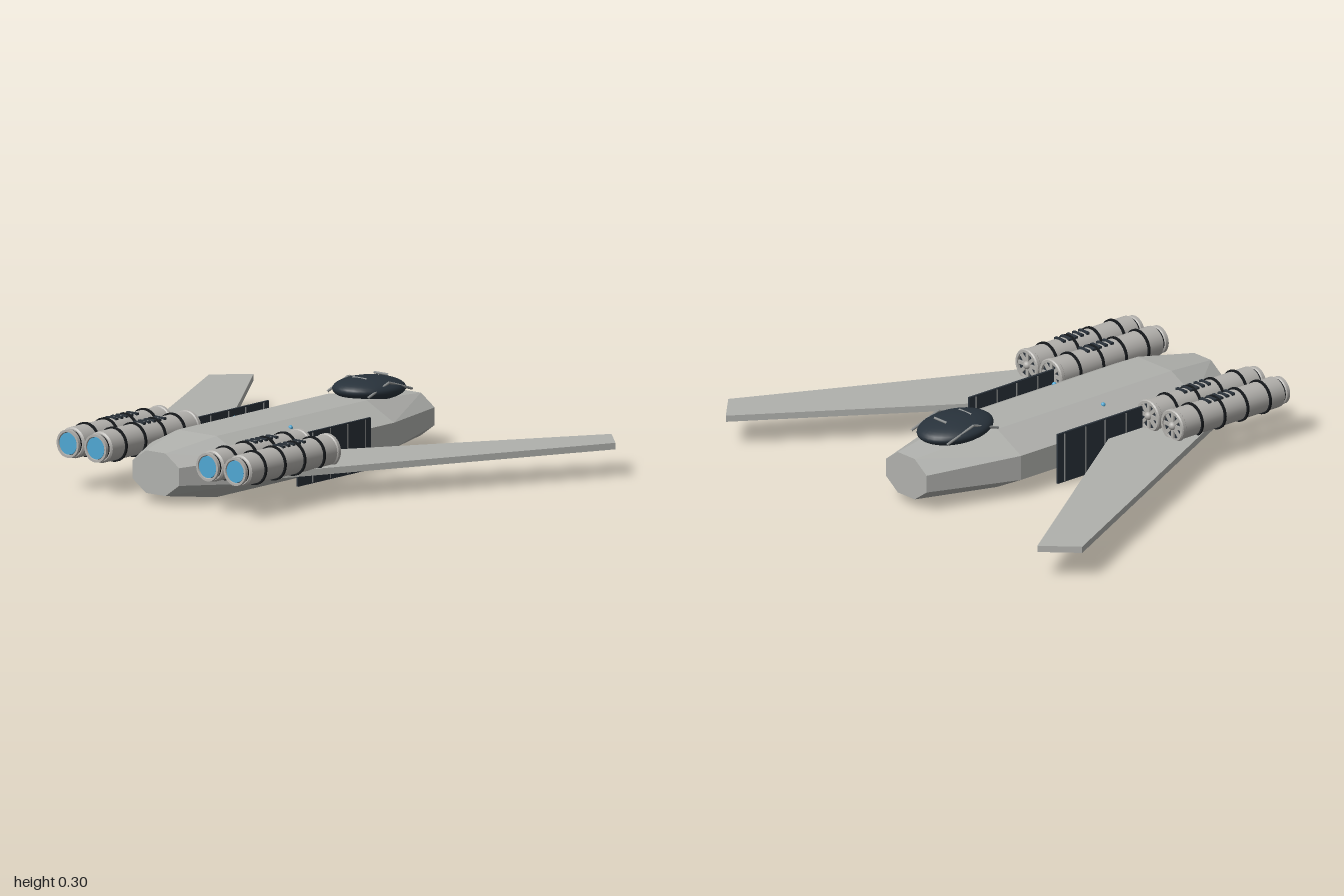
import * as THREE from 'three';
import { ConvexGeometry } from 'three/addons/geometries/ConvexGeometry.js';

const mat = (name, color, extra = {}) => {
  const m = new THREE.MeshStandardMaterial({ color, ...extra });
  m.name = name;
  return m;
};

export function createModel() {
  const hullGrey = mat('hull grey', 0xb0b1ad, { flatShading: true });
  const engineGrey = mat('engine grey', 0xb2b0ac);
  const trimGrey = mat('trim grey', 0x8c8f8f);
  const glass = mat('canopy glass', 0x28323b);
  const panelDark = mat('panel dark', 0x2a323a);
  const black = mat('band black', 0x16191c);
  const blue = mat('glow blue', 0x4fa6d2);

  const root = new THREE.Group();
  root.name = 'spacecraft';
  const add = (parent, name, geo, material, x = 0, y = 0, z = 0) => {
    const mesh = new THREE.Mesh(geo, material);
    mesh.name = name;
    mesh.position.set(x, y, z);
    parent.add(mesh);
    return mesh;
  };

  // Hull: squashed octagon sections, tapering at both ends
  const points = [];
  const sections = [[-0.705, 0.115, 0.082], [-0.33, 0.23, 0.1175], [0.55, 0.23, 0.1175], [0.793, 0.115, 0.082]];
  for (const [z, w, h] of sections) {
    for (let i = 0; i < 8; i++) {
      const a = (i + 0.5) * Math.PI / 4, k = 1 / Math.cos(Math.PI / 8);
      points.push(new THREE.Vector3(Math.cos(a) * w * k, 0.12 + Math.sin(a) * h * k, z));
    }
  }
  add(root, 'hull', new ConvexGeometry(points), hullGrey);

  // Canopy: flattened dome with a thin frame
  const canopy = new THREE.Group();
  canopy.name = 'canopy';
  root.add(canopy);
  const dome = add(canopy, 'canopyGlass', new THREE.SphereGeometry(1, 32, 20), glass, 0, 0.254, -0.458);
  dome.scale.set(0.122, 0.046, 0.162);
  dome.rotation.x = -0.05;
  const bar = (name, a, b, r) => {
    const path = new THREE.LineCurve3(new THREE.Vector3(...a), new THREE.Vector3(...b));
    add(canopy, name, new THREE.TubeGeometry(path, 1, r, 8), trimGrey);
  };
  for (const s of [-1, 1]) {
    bar('frameRear', [s * 0.1, 0.245, -0.33], [s * 0.1, 0.286, -0.455], 0.005);
    bar('frameFront', [s * 0.1, 0.286, -0.455], [s * 0.1, 0.243, -0.59], 0.005);
  }
  for (const z of [-0.53, -0.405]) bar('frameCross', [-0.035, 0.297, z], [0.035, 0.297, z], 0.005);

  // Wings: swept toward the nose, with angled tips
  const outline = [[0.88, -0.83], [1, -0.71], [0.37, 0.55], [0.115, 0.295]];
  for (const s of [-1, 1]) {
    const shape = new THREE.Shape(outline.map(([x, z]) => new THREE.Vector2(s * x, z)));
    const geo = new THREE.ExtrudeGeometry(shape, { depth: 0.025, bevelEnabled: false });
    geo.rotateX(Math.PI / 2);
    add(root, s > 0 ? 'leftWing' : 'rightWing', geo, hullGrey, 0, 0.133, 0);
  }

  // Engine: built along z, with the intake toward the nose
  const bodyProfile = [
    [0.05, 0.285], [0.05, 0.268], [0.06, 0.268], [0.064, 0.273], [0.064, 0.286], [0.06, 0.29],
    [0.06, 0.788], [0.054, 0.794], [0.044, 0.794]
  ].map(([r, z]) => new THREE.Vector2(r, z));
  const nozzleProfile = [[0.046, 0.80], [0.05, 0.803], [0.054, 0.806], [0.054, 0.82], [0.045, 0.82], [0.043, 0.805]]
    .map(([r, z]) => new THREE.Vector2(r, z));
  const alongZ = geo => geo.rotateX(Math.PI / 2);
  const makeEngine = (x) => {
    const g = new THREE.Group();
    g.name = 'engine';
    g.position.set(x, 0.183, 0);
    root.add(g);
    for (const [name, profile] of [['engineBody', bodyProfile], ['nozzleRim', nozzleProfile]]) {
      // Separate lathe segments keep the profile edges sharp
      for (let i = 0; i + 1 < profile.length; i++) {
        add(g, name, alongZ(new THREE.LatheGeometry([profile[i], profile[i + 1]], 28)), engineGrey);
      }
    }
    add(g, 'nozzleCollar', alongZ(new THREE.CylinderGeometry(0.049, 0.049, 0.018, 28)), black, 0, 0, 0.8);
    add(g, 'exhaustGlow', alongZ(new THREE.CylinderGeometry(0.042, 0.042, 0.008, 28)), blue, 0, 0, 0.813);
    for (const z of [0.368, 0.483, 0.598, 0.712]) {
      add(g, 'band', alongZ(new THREE.CylinderGeometry(0.067, 0.067, 0.009, 28)), black, 0, 0, z);
    }
    // Intake face, blades and hub
    add(g, 'intakeFace', alongZ(new THREE.CylinderGeometry(0.051, 0.051, 0.01, 28)), panelDark, 0, 0, 0.284);
    for (let i = 0; i < 4; i++) {
      add(g, 'intakeBlade', new THREE.BoxGeometry(0.1, 0.014, 0.008), engineGrey, 0, 0, 0.276).rotation.z = i * Math.PI / 4;
    }
    add(g, 'intakeHub', new THREE.SphereGeometry(0.016, 16, 10), engineGrey, 0, 0, 0.274);
    // Vent slots on top
    for (let i = 0; i < 5; i++) {
      add(g, 'vent', new THREE.BoxGeometry(0.052, 0.016, 0.014), panelDark, 0, 0.055, 0.44 + i * 0.03);
    }
  };

  for (const s of [-1, 1]) {
    makeEngine(s * 0.275);
    makeEngine(s * 0.411);

    // Side panels with thin upright ribs
    const panel = new THREE.Group();
    panel.name = s > 0 ? 'leftPanel' : 'rightPanel';
    panel.position.set(s * 0.25, 0.118, 0.048);
    root.add(panel);
    add(panel, 'panelPlate', new THREE.BoxGeometry(0.009, 0.2, 0.426), panelDark);
    for (const z of [-0.18, -0.075, 0.025, 0.13]) {
      add(panel, 'panelRib', new THREE.BoxGeometry(0.013, 0.192, 0.006), trimGrey, 0, 0, z);
    }

    // Small marker lights on the deck
    add(root, 'markerLight', new THREE.SphereGeometry(0.009, 12, 8), blue, s * 0.138, 0.216, 0.167);
  }
  return root;
}
